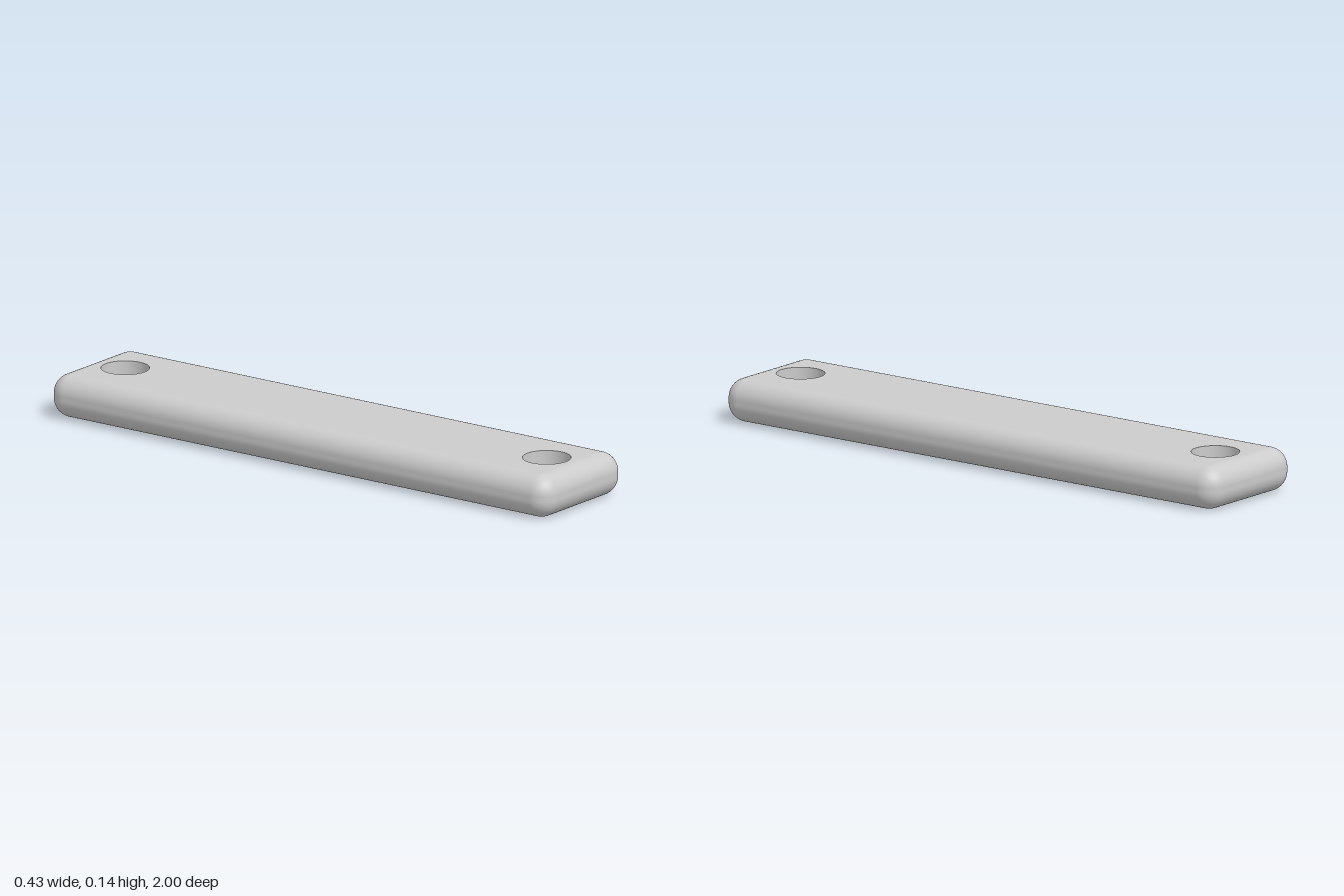
import * as THREE from 'three';

const HALF_W = 0.214, HALF_L = 1, HEIGHT = 0.143; // overall size
const R = 0.064;                                  // edge and corner rounding
const HOLE_R = 0.078, HOLE_Z = 0.843;
const CORE_X = HALF_W - R, CORE_Z = HALF_L - R;   // flat area of the faces

// Rounded rim: a half-round profile swept around the rectangle
function rimGeometry(steps = 12) {
  const pos = [], nor = [], idx = [];
  const rows = 2 * steps + 2, cols = 4 * (steps + 1);
  const corners = [[1, 1], [-1, 1], [-1, -1], [1, -1]];
  corners.forEach(([sx, sz], q) => {
    for (let i = 0; i <= steps; i++) {
      const t = (q + i / steps) * Math.PI / 2;
      for (let j = 0; j < rows; j++) {
        const upper = j > steps;                  // a narrow straight band splits the halves
        const phi = ((upper ? j - 1 : j) / steps - 1) * Math.PI / 2;
        const n = [Math.cos(phi) * Math.cos(t), Math.sin(phi), Math.cos(phi) * Math.sin(t)];
        pos.push(sx * CORE_X + R * n[0], (upper ? HEIGHT - R : R) + R * n[1], sz * CORE_Z + R * n[2]);
        nor.push(...n);
      }
    }
  });
  for (let c = 0; c < cols; c++) {
    for (let j = 0; j < rows - 1; j++) {
      const a = c * rows + j, b = ((c + 1) % cols) * rows + j;
      idx.push(a, a + 1, b, b, a + 1, b + 1);
    }
  }
  const g = new THREE.BufferGeometry();
  g.setAttribute('position', new THREE.Float32BufferAttribute(pos, 3));
  g.setAttribute('normal', new THREE.Float32BufferAttribute(nor, 3));
  g.setIndex(idx);
  return g;
}

// Flat rectangle with the two round holes
function faceShape() {
  const s = new THREE.Shape([
    new THREE.Vector2(-CORE_X, -CORE_Z), new THREE.Vector2(CORE_X, -CORE_Z),
    new THREE.Vector2(CORE_X, CORE_Z), new THREE.Vector2(-CORE_X, CORE_Z),
  ]);
  for (const side of [-1, 1]) {
    s.holes.push(new THREE.Path().absarc(0, side * HOLE_Z, HOLE_R, 0, Math.PI * 2, true));
  }
  return s;
}

export function createModel() {
  const group = new THREE.Group();
  group.name = 'barWithHoles';
  const material = new THREE.MeshStandardMaterial({ color: 0xcccccc });
  const add = (name, geometry) => {
    const mesh = new THREE.Mesh(geometry, material);
    mesh.name = name;
    group.add(mesh);
    return mesh;
  };

  add('roundedRim', rimGeometry());

  const face = new THREE.ShapeGeometry(faceShape(), 24);
  add('topFace', face.clone().rotateX(-Math.PI / 2).translate(0, HEIGHT, 0));
  add('bottomFace', face.clone().rotateX(Math.PI / 2));

  // Hole walls, profile run downwards so they face inwards
  const wall = new THREE.LatheGeometry(
    [new THREE.Vector2(HOLE_R, HEIGHT), new THREE.Vector2(HOLE_R, 0)], 48);
  add('frontHole', wall).position.z = HOLE_Z;
  add('backHole', wall).position.z = -HOLE_Z;

  return group;
}
